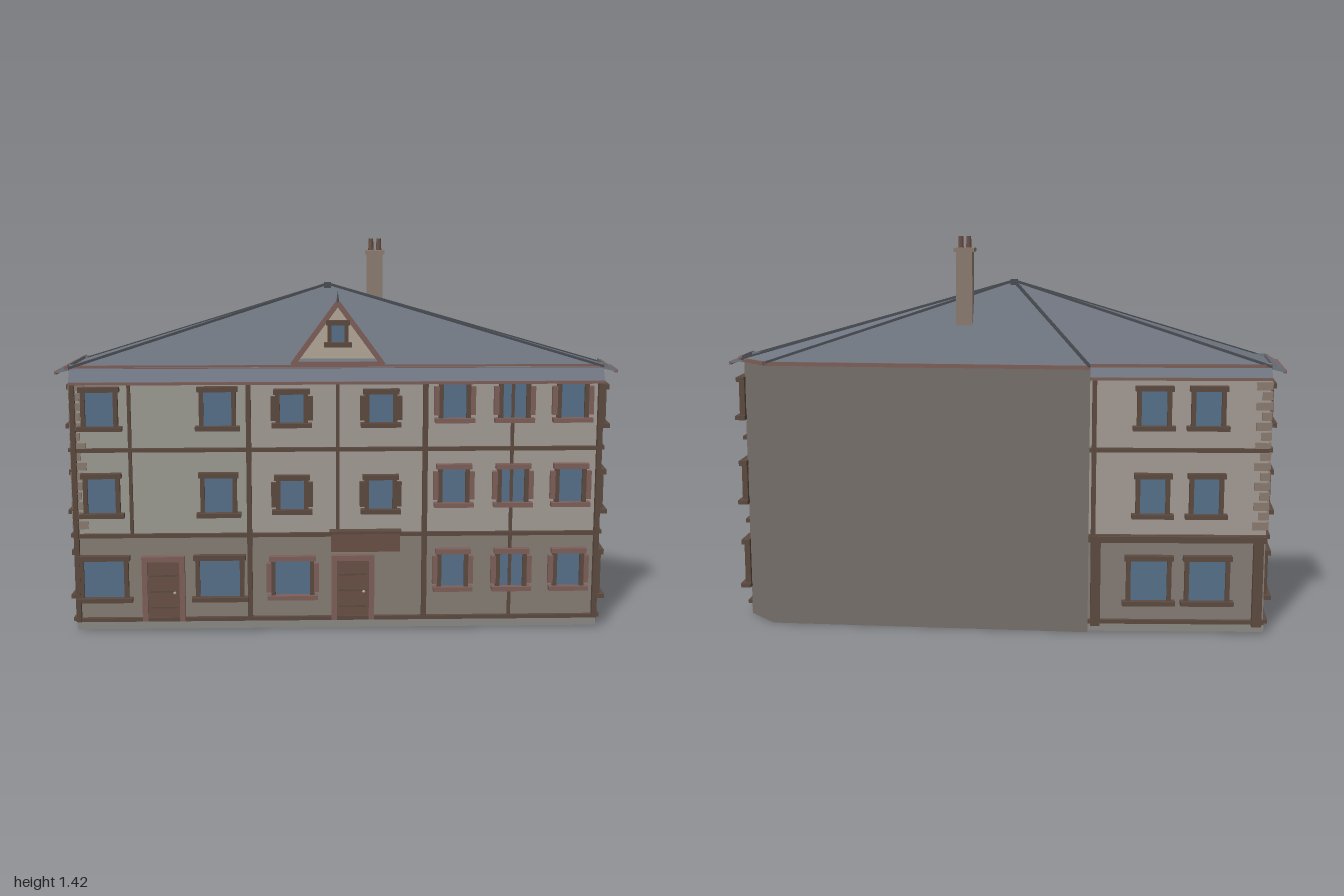
import * as THREE from 'three';

const mat = (color, side = THREE.FrontSide) => new THREE.MeshStandardMaterial({ color, side, flatShading: true });
const M = {
  plaster: mat(0xa39b95), plasterGreen: mat(0x9c9b93), ground: mat(0x857d75), blank: mat(0x76706b),
  timber: mat(0x5c4a40), reddish: mat(0x7d5f59), glass: mat(0x56708a), slate: mat(0x6f7580, THREE.DoubleSide),
  rib: mat(0x484c52), base: mat(0x8c8a84), stone: mat(0x8a7b70), cream: mat(0xb3a797), door: mat(0x6a5045),
};

function box(parent, name, m, w, h, d, x, y, z = 0) {
  const mesh = new THREE.Mesh(new THREE.BoxGeometry(w, h, d), m);
  mesh.name = name;
  mesh.position.set(x, y, z);
  parent.add(mesh);
  return mesh;
}

// straight square bar between two points
function beam(parent, name, m, a, b, w, d = w) {
  const mesh = new THREE.Mesh(new THREE.BoxGeometry(w, d, a.distanceTo(b)), m);
  mesh.name = name;
  mesh.position.copy(a).lerp(b, 0.5);
  mesh.lookAt(b);
  parent.add(mesh);
}

// glass, jambs, lintel and sill; optional wider side posts
function addWindow(wall, u, y, w, h, { frame = M.timber, posts = false } = {}) {
  const g = new THREE.Group();
  g.name = 'window';
  g.position.set(u, y, 0);
  const t = 0.016;
  box(g, 'pane', M.glass, w, h, 0.006, 0, 0, 0.003);
  for (const s of [-1, 1]) {
    box(g, 'jamb', M.timber, t, h + 0.01, 0.02, s * (w + t) / 2, 0, 0.008);
    if (posts) box(g, 'sidePost', frame, 0.018, h * 0.82, 0.02, s * (w / 2 + t + 0.008), 0, 0.01);
  }
  box(g, 'lintel', frame, w + 0.045, 0.018, 0.03, 0, h / 2 + 0.008, 0.012);
  box(g, 'sill', frame, w + 0.06, 0.016, 0.036, 0, -h / 2 - 0.008, 0.014);
  wall.add(g);
}

function addDoor(wall, u) {
  const g = new THREE.Group();
  g.name = 'door';
  g.position.x = u;
  box(g, 'doorLeaf', M.door, 0.12, 0.22, 0.012, 0, 0.15, 0.004);
  for (const s of [-1, 1]) box(g, 'doorPost', M.reddish, 0.02, 0.24, 0.026, s * 0.068, 0.16, 0.008);
  box(g, 'doorHead', M.reddish, 0.156, 0.02, 0.03, 0, 0.273, 0.008);
  for (const y of [0.09, 0.15, 0.21]) box(g, 'doorRail', M.timber, 0.1, 0.006, 0.006, 0, y, 0.011);
  const knob = new THREE.Mesh(new THREE.SphereGeometry(0.006, 8, 6), M.cream);
  knob.name = 'doorKnob';
  knob.position.set(0.04, 0.145, 0.013);
  g.add(knob);
  wall.add(g);
}

// sloping eaves skirt that follows one wall
function addEaves(wall, L, out, low) {
  const s = new THREE.Shape([[0, 0.985], [out, low + 0.006], [out, low], [0, low + 0.01]].map(p => new THREE.Vector2(-p[0], p[1])));
  const geo = new THREE.ExtrudeGeometry(s, { depth: L, bevelEnabled: false });
  geo.rotateY(Math.PI / 2).translate(-L / 2, 0, 0);
  const eaves = new THREE.Mesh(geo, M.slate);
  eaves.name = 'eaves';
  wall.add(eaves);
  box(wall, 'gutter', M.reddish, L, 0.01, 0.01, 0, low + 0.002, out);
  box(wall, 'eavesTrim', M.reddish, L, 0.012, 0.012, 0, 0.975, 0.008);
}

// alternating corner blocks at one end of a wall
function addQuoins(wall, u, s) {
  for (let i = 0; i < 15; i++) {
    const w = i % 2 ? 0.028 : 0.048;
    box(wall, 'quoin', M.stone, w, 0.028, 0.012, u - s * w / 2, 0.4 + i * 0.036, 0.003);
  }
}

const addBands = (wall, L) => [0.045, 0.36, 0.675].forEach(y => box(wall, 'floorBand', M.timber, L, 0.014, 0.018, 0, y, 0.006));
const FLOORS = [[0.51, 0.13], [0.825, 0.125]];

export function createModel() {
  const house = new THREE.Group();
  house.name = 'townhouse';

  // footprint corners (x, z), front left round to back left
  const P = [[-0.95, 0.15], [0.95, 0.045], [0.95, -0.06], [0.84, -0.165], [-0.32, -0.165], [-0.95, -0.12]];
  const names = ['frontWall', 'rightEndWall', 'chamferWall', 'partyWall', 'rearWall', 'leftEndWall'];
  const walls = P.map((a, i) => {
    const b = P[(i + 1) % P.length];
    const g = new THREE.Group();
    g.name = names[i];
    g.position.set((a[0] + b[0]) / 2, 0, (a[1] + b[1]) / 2);
    g.rotation.y = Math.atan2(a[1] - b[1], b[0] - a[0]);
    house.add(g);
    return { g, L: Math.hypot(b[0] - a[0], b[1] - a[1]) };
  });
  const [front, right, chamfer, party, rear, left] = walls;
  const panel = (g, m, u0, u1, y0, y1) => box(g, 'wallPanel', m, u1 - u0, y1 - y0, 0.01, (u0 + u1) / 2, (y0 + y1) / 2, -0.005);

  // front: three bays, dark ground floor
  const f = front.g;
  [[-0.95, -0.32, M.plasterGreen], [-0.32, 0.315, M.plaster], [0.315, 0.95, M.plaster]].forEach(([u0, u1, m]) => {
    panel(f, M.ground, u0, u1, 0.03, 0.36);
    panel(f, m, u0, u1, 0.36, 0.97);
  });
  addBands(f, front.L);
  for (const u of [-0.945, -0.32, 0.315, 0.945]) box(f, 'mainPost', M.timber, 0.018, 0.89, 0.024, u, 0.485, 0.008);
  box(f, 'thinPost', M.timber, 0.012, 0.56, 0.016, -0.745, 0.64, 0.005);
  box(f, 'thinPost', M.timber, 0.012, 0.56, 0.016, 0, 0.64, 0.005);
  box(f, 'thinPost', M.timber, 0.012, 0.88, 0.012, 0.63, 0.48, 0.002);
  for (const [y, h] of FLOORS) {
    for (const u of [-0.85, -0.43]) addWindow(f, u, y, 0.1, h);
    for (const u of [-0.165, 0.155]) addWindow(f, u, y, 0.085, h - 0.02, { posts: true, frame: M.timber });
  }
  for (const u of [-0.85, -0.43]) addWindow(f, u, 0.2, 0.145, 0.14);
  addWindow(f, -0.165, 0.2, 0.125, 0.13, { posts: true, frame: M.reddish });
  for (const u of [0.42, 0.635, 0.845])
    for (const y of [0.225, 0.54, 0.85]) addWindow(f, u, y, 0.083, 0.125, { posts: true, frame: M.reddish });
  addDoor(f, -0.635);
  addDoor(f, 0.055);
  box(f, 'signBoard', M.door, 0.25, 0.072, 0.03, 0.1, 0.338, 0.025);
  box(f, 'signRail', M.timber, 0.26, 0.01, 0.04, 0.1, 0.374, 0.025);
  addQuoins(f, -0.95, -1);

  // right end: one column of windows
  panel(right.g, M.plaster, -right.L / 2, right.L / 2, 0.03, 0.97);
  addBands(right.g, right.L);
  [[0.2, 0.15], ...FLOORS].forEach(([y, h]) => addWindow(right.g, 0.015, y, 0.08, h));

  // blank rear walls
  panel(chamfer.g, M.blank, -chamfer.L / 2, chamfer.L / 2, 0, 0.97);
  panel(party.g, M.blank, -party.L / 2, party.L / 2, 0, 0.97);
  box(party.g, 'eavesTrim', M.reddish, party.L, 0.014, 0.02, 0, 0.968, 0.005);
  box(chamfer.g, 'eavesTrim', M.reddish, chamfer.L, 0.014, 0.02, 0, 0.968, 0.005);

  // rear bay: shop windows below, pairs of windows above
  const r = rear.g;
  panel(r, M.plaster, -rear.L / 2, rear.L / 2, 0.36, 0.97);
  panel(r, M.ground, -rear.L / 2, rear.L / 2, 0.03, 0.36);
  addBands(r, rear.L);
  for (const u of [-0.09, 0.1]) {
    for (const [y, h] of FLOORS) addWindow(r, u, y, 0.09, h);
    addWindow(r, u * 1.1, 0.2, 0.13, 0.15);
  }
  for (const s of [-1, 1]) box(r, 'shopPilaster', M.timber, 0.035, 0.32, 0.026, s * 0.29, 0.19, 0.008);
  box(r, 'shopCornice', M.timber, rear.L, 0.022, 0.04, 0, 0.355, 0.014);
  box(r, 'cornerPost', M.timber, 0.016, 0.6, 0.02, -0.3, 0.66, 0.006);
  addQuoins(r, rear.L / 2, 1);

  // left end: one column of windows between quoins
  panel(left.g, M.plaster, -left.L / 2, left.L / 2, 0.36, 0.97);
  panel(left.g, M.ground, -left.L / 2, left.L / 2, 0.03, 0.36);
  addBands(left.g, left.L);
  [[0.2, 0.15], ...FLOORS].forEach(([y, h]) => addWindow(left.g, 0.005, y, 0.11, h));
  for (const s of [-1, 1]) addQuoins(left.g, s * left.L / 2, s);

  // plinth and eaves
  for (const w of [front, right, rear, left]) box(w.g, 'plinth', M.base, w.L, 0.03, 0.012, 0, 0.022, -0.003);
  addEaves(f, front.L, 0.042, 0.918);
  addEaves(r, rear.L, 0.035, 0.93);
  addEaves(left.g, left.L + 0.05, 0.045, 0.955);
  addEaves(right.g, right.L + 0.05, 0.045, 0.955);

  // many-sided hipped roof with a single peak
  const peak = new THREE.Vector3(-0.04, 1.26, -0.03);
  const rim = [[-0.955, 0.165], [0.955, 0.06], [0.955, -0.08], [0.84, -0.175], [-0.32, -0.178], [-0.955, -0.13]]
    .map(([x, z]) => new THREE.Vector3(x, 0.972, z));
  const tri = [];
  rim.forEach((a, i) => tri.push(a, rim[(i + 1) % rim.length], peak));
  const roofGeo = new THREE.BufferGeometry().setFromPoints(tri);
  roofGeo.computeVertexNormals();
  const roof = new THREE.Mesh(roofGeo, M.slate);
  roof.name = 'roof';
  house.add(roof);
  rim.forEach(p => beam(house, 'hipRib', M.rib, p, peak, 0.016, 0.008));
  box(house, 'peakCap', M.rib, 0.025, 0.02, 0.025, peak.x, 1.255, peak.z);

  // dormer gable
  const dormer = new THREE.Group();
  dormer.name = 'dormer';
  const gable = new THREE.Shape([[-0.155, 0.985], [0.155, 0.985], [0, 1.195]].map(p => new THREE.Vector2(...p)));
  const body = new THREE.Mesh(new THREE.ExtrudeGeometry(gable, { depth: 0.1, bevelEnabled: false }), [M.cream, M.slate]);
  body.name = 'dormerBody';
  body.position.z = -0.1;
  dormer.add(body);
  for (const s of [-1, 1])
    beam(dormer, 'bargeBoard', M.reddish, new THREE.Vector3(s * 0.162, 0.98, 0.003), new THREE.Vector3(0, 1.2, 0.003), 0.018);
  box(dormer, 'gableSill', M.reddish, 0.32, 0.014, 0.02, 0, 0.985, 0.004);
  const attic = new THREE.Group();
  attic.name = 'atticWindow';
  addWindow(attic, 0, 1.092, 0.055, 0.062);
  attic.children[0].scale.set(0.85, 1, 0.8);
  dormer.add(attic);
  const spike = new THREE.Mesh(new THREE.ConeGeometry(0.008, 0.055, 6), M.rib);
  spike.name = 'finial';
  spike.position.set(0, 1.215, 0);
  dormer.add(spike);
  f.add(dormer);

  // chimney with two pots
  const chimney = new THREE.Group();
  chimney.name = 'chimney';
  chimney.position.set(0.13, 0, -0.085);
  box(chimney, 'stack', M.stone, 0.058, 0.26, 0.058, 0, 1.235);
  box(chimney, 'chimneyCap', M.stone, 0.072, 0.014, 0.072, 0, 1.371);
  for (const s of [-1, 1]) {
    const pot = new THREE.Mesh(new THREE.CylinderGeometry(0.008, 0.01, 0.042, 8), M.door);
    pot.name = 'chimneyPot';
    pot.position.set(s * 0.014, 1.398, 0);
    chimney.add(pot);
  }
  house.add(chimney);
  return house;
}
